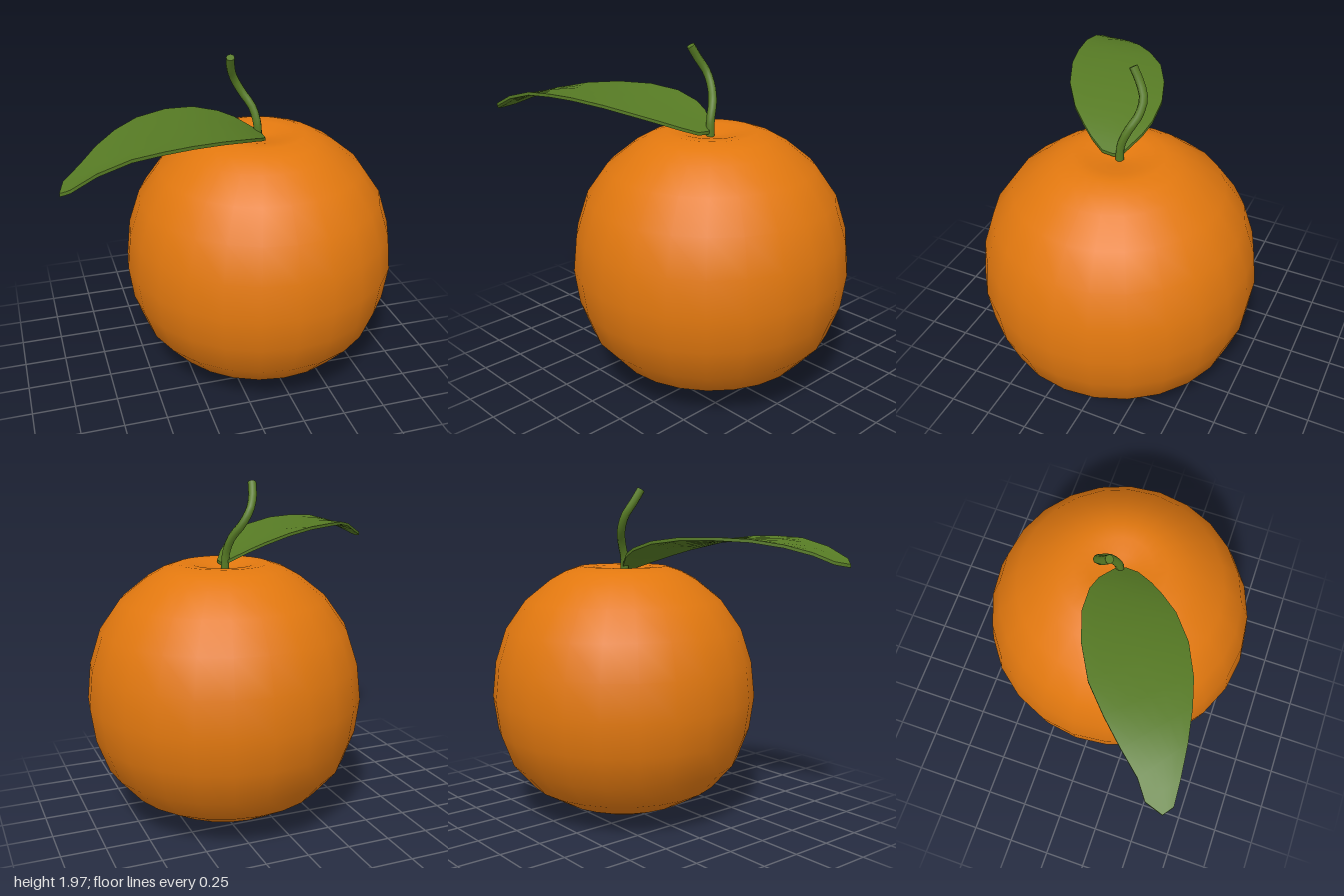
import * as THREE from 'three';
import { toCreasedNormals } from 'three/addons/utils/BufferGeometryUtils.js';

const orange = new THREE.MeshStandardMaterial({ color: 0xe2780f });
orange.name = 'orange peel';
const green = new THREE.MeshStandardMaterial({ color: 0x567a24 });
green.name = 'leaf green';

function addMesh(group, name, geometry, material) {
  const mesh = new THREE.Mesh(geometry, material);
  mesh.name = name;
  group.add(mesh);
  return mesh;
}

// Round fruit with a shallow dimple at each pole
function fruitGeometry() {
  const profile = [
    [0, 0.03], [0.06, 0.012], [0.13, 0.002], [0.22, 0.02], [0.40, 0.09], [0.57, 0.19],
    [0.70, 0.34], [0.77, 0.53], [0.797, 0.73], [0.775, 0.94], [0.71, 1.14], [0.59, 1.31],
    [0.44, 1.43], [0.35, 1.48], [0.26, 1.51], [0.18, 1.505], [0.09, 1.485], [0, 1.47],
  ].map(([r, y]) => new THREE.Vector2(r, y));
  return new THREE.LatheGeometry(profile, 24, -0.025);
}

// Height of the leaf's arch at a given x
const ARCH = [[-1, 1.54], [-0.93, 1.58], [-0.8, 1.64], [-0.63, 1.68], [-0.47, 1.685], [-0.3, 1.68],
  [-0.15, 1.655], [0, 1.61], [0.1, 1.565], [0.16, 1.53], [0.21, 1.495]];
function archHeight(x) {
  let i = 0;
  while (i < ARCH.length - 2 && x > ARCH[i + 1][0]) i++;
  const [x0, y0] = ARCH[i], [x1, y1] = ARCH[i + 1];
  return THREE.MathUtils.lerp(y0, y1, THREE.MathUtils.clamp((x - x0) / (x1 - x0), 0, 1));
}

// Arched leaf: closed thin cross-sections between back and front edges, tip to base
function leafGeometry() {
  const edges = [ // back x, back z, front x, front z
    [-1, 0.62, -0.95, 0.66], [-0.97, 0.52, -0.82, 0.65], [-0.88, 0.45, -0.65, 0.63],
    [-0.78, 0.33, -0.48, 0.60], [-0.66, 0.20, -0.33, 0.56], [-0.52, 0.07, -0.15, 0.48],
    [-0.34, -0.03, 0, 0.37], [-0.17, -0.09, 0.09, 0.27], [-0.02, -0.10, 0.15, 0.19],
    [0.07, -0.08, 0.20, 0.10], [0.19, -0.015, 0.205, 0.03],
  ];
  const steps = 6, ring = 2 * (steps + 1), half = 0.009;
  const positions = [], index = [];
  for (const [bx, bz, fx, fz] of edges) {
    const width = Math.hypot(fx - bx, fz - bz);
    for (let k = 0; k < ring; k++) {
      const top = k <= steps;
      const u = (top ? k : ring - 1 - k) / steps;
      const x = bx + (fx - bx) * u;
      const z = bz + (fz - bz) * u;
      const channel = 0.02 * width * Math.sin(Math.PI * u);
      positions.push(x, archHeight(x) - channel + (top ? half : -half), z);
    }
  }
  for (let i = 0; i < edges.length - 1; i++) {
    for (let k = 0; k < ring; k++) {
      const a = i * ring + k, b = i * ring + (k + 1) % ring;
      index.push(a, b, a + ring, b, b + ring, a + ring);
    }
  }
  // Close the tip and the base
  const last = (edges.length - 1) * ring;
  for (let k = 0; k < steps; k++) {
    const m = ring - 1 - k;
    index.push(k, m, k + 1, k + 1, m, m - 1);
    index.push(last + k, last + k + 1, last + m, last + k + 1, last + m - 1, last + m);
  }
  const geometry = new THREE.BufferGeometry();
  geometry.setAttribute('position', new THREE.Float32BufferAttribute(positions, 3));
  geometry.setIndex(index);
  return toCreasedNormals(geometry, 0.9);
}

export function createModel() {
  const model = new THREE.Group();
  model.name = 'fruit with leaf';

  addMesh(model, 'fruit', fruitGeometry(), orange).position.x = 0.2;
  addMesh(model, 'leaf', leafGeometry(), green);

  // Bent stem with a flat cut end
  const path = new THREE.CatmullRomCurve3([
    [0.19, 1.46, 0], [0.185, 1.56, -0.005], [0.165, 1.65, -0.04], [0.115, 1.73, -0.08],
    [0.07, 1.81, -0.085], [0.04, 1.88, -0.05], [0.025, 1.955, -0.005],
  ].map((p) => new THREE.Vector3(...p)));
  const radius = 0.024;
  const stem = new THREE.Group();
  stem.name = 'stem';
  model.add(stem);
  addMesh(stem, 'stem stalk', new THREE.TubeGeometry(path, 14, radius, 8), green);
  const cut = addMesh(stem, 'stem cut end', new THREE.CircleGeometry(radius, 8), green);
  const end = path.getPoint(1);
  cut.position.copy(end);
  cut.lookAt(end.clone().add(path.getTangent(1)));

  return model;
}
